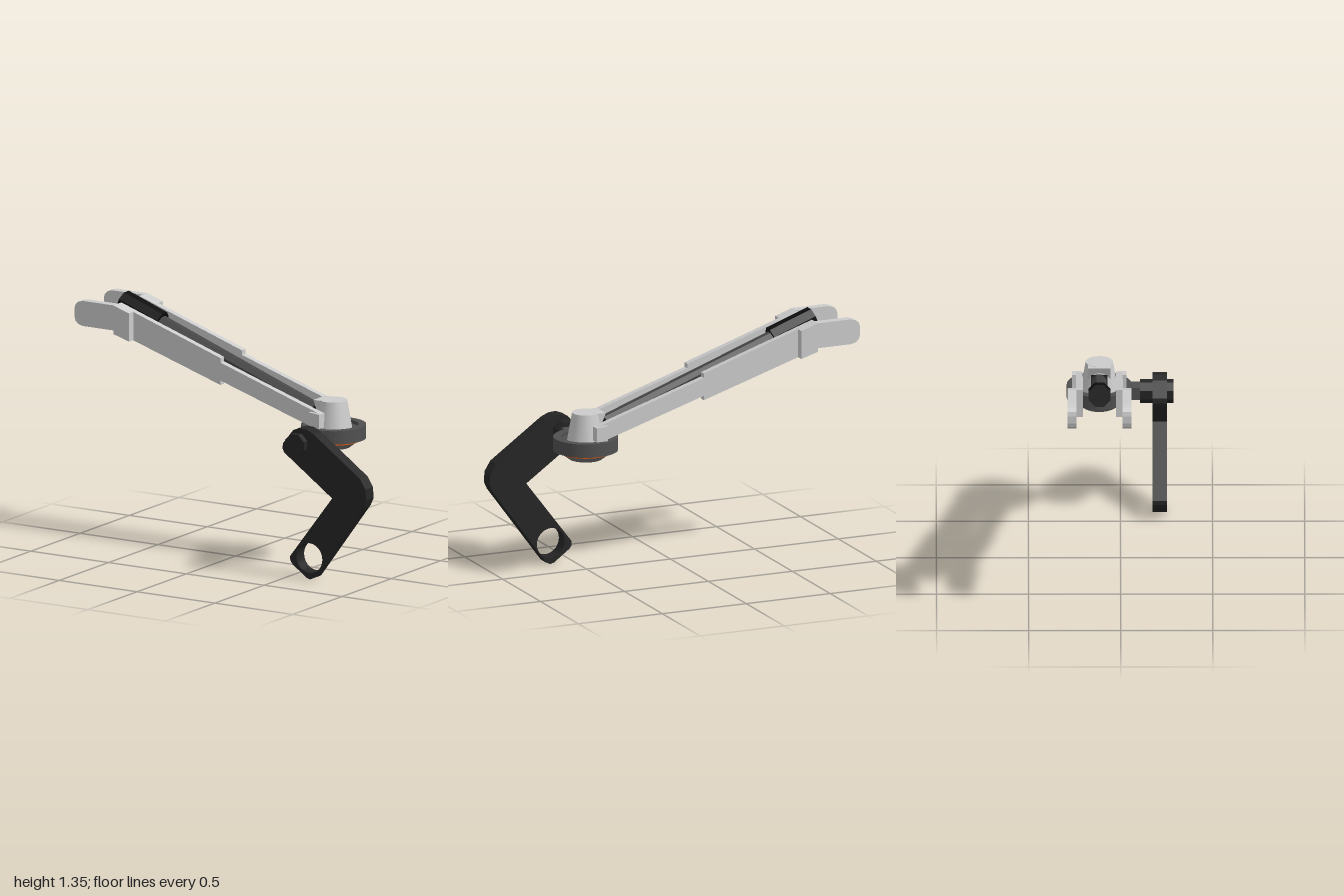
import * as THREE from 'three';

const mat = (color) => new THREE.MeshStandardMaterial({ color, flatShading: true });
const GREY = mat(0xcccccc), BLACK = mat(0x252525), GRIP = mat(0x0e0e0e);
const ROD = mat(0x454545), DISC = mat(0x505050), BASE = mat(0x707070), ORANGE = mat(0xe0560c);
for (const m of [DISC, BASE, ORANGE]) m.flatShading = false;
const CONE = new THREE.MeshStandardMaterial({ color: 0xcccccc });

const HUB_X = 0.557, MID_Z = -0.115;

function add(group, name, geometry, material, x = 0, y = 0, z = 0) {
  const mesh = new THREE.Mesh(geometry, material);
  mesh.name = name;
  mesh.position.set(x, y, z);
  group.add(mesh);
  return mesh;
}

// Flat plate from an outline in x/y, running from z0 to z1
function plate(points, z0, z1, hole) {
  const shape = new THREE.Shape(points.map(([x, y]) => new THREE.Vector2(x, y)));
  if (hole) shape.holes.push(hole);
  return new THREE.ExtrudeGeometry(shape, { depth: z1 - z0, bevelEnabled: false, curveSegments: 16 })
    .translate(0, 0, z0);
}

// Outline with its own vertices per band, so the turned edges stay sharp
function turned(points) {
  const doubled = [];
  points.forEach(([r, y], i) => {
    doubled.push(new THREE.Vector2(r, y));
    if (i > 0 && i < points.length - 1) doubled.push(new THREE.Vector2(r, y));
  });
  return new THREE.LatheGeometry(doubled, 40);
}

// One side of the fork: stepped arm, offset cheek, rounded tip and foot; side is +1 or -1
function forkArm(side) {
  const g = new THREE.Group();
  g.name = side > 0 ? 'frontForkArm' : 'backForkArm';
  const span = (a, b) => side > 0 ? [MID_Z + a, MID_Z + b] : [MID_Z - b, MID_Z - a];
  add(g, 'arm', plate([
    [-0.75, 1.155], [-0.09, 0.945], [-0.09, 0.97], [0.48, 0.79], [0.555, 0.79], [0.555, 0.863],
    [0.54, 0.866], [-0.09, 1.07], [-0.09, 1.095], [-0.75, 1.315],
  ], ...span(0.09, 0.127)), GREY);
  add(g, 'cheek', plate([
    [-0.75, 1.155], [-0.65, 1.125], [-0.65, 1.282], [-0.75, 1.315],
  ], ...span(0.09, 0.173)), GREY);
  add(g, 'tip', plate([
    [-0.75, 1.175], [-0.75, 1.315], [-0.945, 1.315], [-0.975, 1.307], [-0.993, 1.29], [-1, 1.265],
    [-1, 1.225], [-0.993, 1.2], [-0.975, 1.183], [-0.945, 1.175],
  ], ...span(0.125, 0.173)), GREY);
  add(g, 'foot', plate([
    [0.49, 0.785], [0.557, 0.785], [0.557, 0.864], [0.49, 0.87],
  ], ...span(0.1, 0.147)), GREY);
  return g;
}

export function createModel() {
  const model = new THREE.Group();

  // Hub: dark rimmed disc, orange band, tapered base and grey post
  add(model, 'hubDisc', turned([
    [0, 0.71], [0.177, 0.71], [0.177, 0.785], [0.135, 0.785], [0.135, 0.765], [0, 0.765],
  ]), DISC, HUB_X, 0, MID_Z);
  add(model, 'orangeBand', new THREE.CylinderGeometry(0.143, 0.143, 0.016, 40), ORANGE, HUB_X, 0.704, MID_Z);
  add(model, 'hubBase', turned([[0, 0.66], [0.09, 0.66], [0.14, 0.697], [0, 0.697]]), BASE, HUB_X, 0, MID_Z);
  add(model, 'hubPost', turned([[0, 0.76], [0.102, 0.76], [0.074, 0.92], [0, 0.92]]), CONE, HUB_X, 0, MID_Z);
  add(model, 'postSocket', plate([
    [0.52, 0.77], [0.56, 0.77], [0.56, 0.919], [0.465, 0.919],
  ], MID_Z - 0.06, MID_Z + 0.06), GREY);

  // Fork
  model.add(forkArm(1), forkArm(-1));

  // Strut between the arms, eight-sided, sloping down to the post
  const strut = new THREE.Group();
  strut.name = 'strut';
  strut.position.set(-0.795, 1.299, MID_Z);
  strut.rotation.z = -THREE.MathUtils.degToRad(20);
  const bar = (r, len) => new THREE.CylinderGeometry(r, r, len, 8).rotateY(Math.PI / 8).rotateZ(Math.PI / 2);
  add(strut, 'grip', bar(0.064, 0.262), GRIP, 0.131);
  add(strut, 'rod', bar(0.042, 1.13), ROD, 0.8);
  add(strut, 'rodCollar', new THREE.BoxGeometry(0.03, 0.09, 0.09), GRIP, 1.335, -0.01);
  model.add(strut);

  // Stub and eight-sided bolt holding the bracket
  add(model, 'stub', new THREE.BoxGeometry(0.088, 0.07, 0.1), DISC, HUB_X, 0.747, 0.07);
  add(model, 'bolt', new THREE.CylinderGeometry(0.065, 0.065, 0.182, 8).rotateY(Math.PI / 8).rotateX(Math.PI / 2),
    BLACK, 0.56, 0.745, 0.196);

  // Bent bracket with a round hole at its lower end
  const hole = new THREE.Path().absarc(0.634, 0.119, 0.083, 0, Math.PI * 2, true);
  add(model, 'bracket', plate([
    [0.5, 0.668], [0.78, 0.47], [0.51, 0.115], [0.511, 0.09], [0.525, 0.072], [0.615, 0.006],
    [0.637, 0], [0.66, 0.01], [0.98, 0.445], [0.998, 0.485], [0.994, 0.545], [0.96, 0.6],
    [0.66, 0.813], [0.615, 0.833], [0.57, 0.836], [0.53, 0.82], [0.465, 0.74], [0.46, 0.712], [0.472, 0.688],
  ], 0.175, 0.252, hole), BLACK);

  return model;
}
